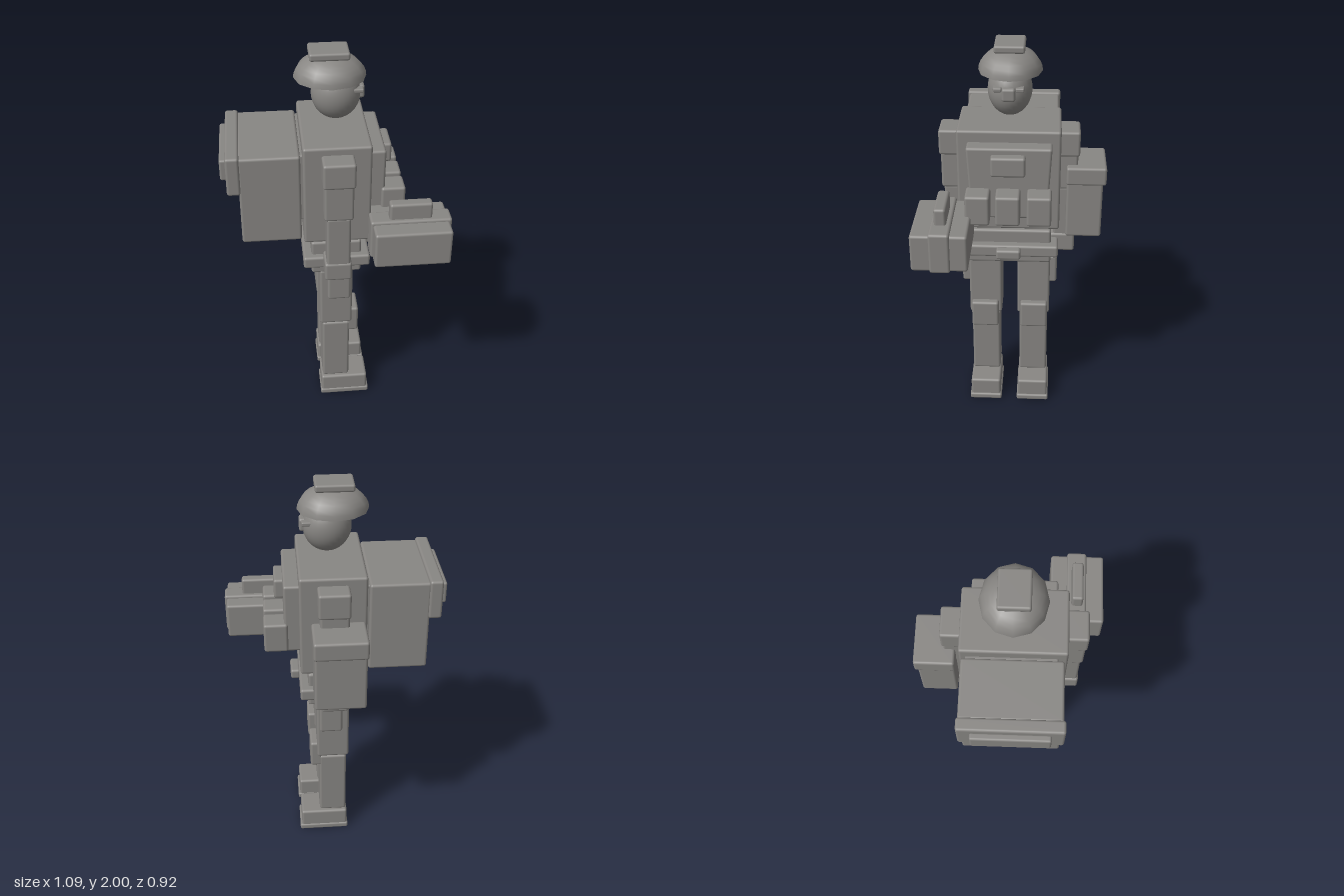
import * as THREE from 'three';
import { RoundedBoxGeometry } from 'three/addons/geometries/RoundedBoxGeometry.js';

const MID = 0.017; // plane of symmetry between the model's two sides

export function createModel() {
  const root = new THREE.Group();
  const grey = new THREE.MeshStandardMaterial({ color: 0x888683 });
  grey.name = 'plain grey';

  const add = (name, geometry) => {
    const mesh = new THREE.Mesh(geometry, grey);
    mesh.name = name;
    root.add(mesh);
    return mesh;
  };
  // Soft-edged box given by its extents on each axis
  const box = (name, [x0, x1], [y0, y1], [z0, z1]) => {
    const size = [x1 - x0, y1 - y0, z1 - z0];
    const radius = Math.min(0.013, Math.min(...size) * 0.3);
    const mesh = add(name, new RoundedBoxGeometry(...size, 2, radius));
    mesh.position.set((x0 + x1) / 2, (y0 + y1) / 2, (z0 + z1) / 2);
    return mesh;
  };
  // The same box on both sides of the body
  const pair = (name, x, y, [z0, z1]) => {
    box(name + 'Near', x, y, [z0, z1]);
    box(name + 'Far', x, y, [2 * MID - z1, 2 * MID - z0]);
  };

  // Head and goggles
  const head = add('head', new THREE.SphereGeometry(1, 28, 20));
  head.scale.set(0.118, 0.13, 0.107);
  head.position.set(0.016, 1.78, 0.015);
  box('nosePiece', [0.1, 0.15], [1.755, 1.82], [-0.015, 0.05]);
  pair('goggleLens', [0.08, 0.14], [1.8, 1.82], [0.05, 0.09]);

  // Domed helmet with a closed underside
  const dome = [];
  for (let i = 0; i <= 8; i++) {
    const a = (i / 8) * Math.PI / 2;
    dome.push(new THREE.Vector2(Math.cos(a), Math.sin(a)));
  }
  dome[8].x = 0;
  const helmet = add('helmet', new THREE.LatheGeometry(dome, 12));
  const brim = add('helmetUnderside', new THREE.CircleGeometry(1, 12).rotateX(Math.PI / 2));
  for (const part of [helmet, brim]) {
    part.scale.set(0.171, 0.115, 0.154);
    part.position.set(-0.012, 1.86, 0.014);
  }
  box('helmetTop', [-0.111, 0.076], [1.963, 2.0], [-0.057, 0.089]);

  // Torso and tapered chest plate
  box('torso', [-0.16, 0.165], [1.09, 1.617], [-0.235, 0.267]);
  const plate = box('chestPlate', [0.14, 0.238], [1.19, 1.56], [-0.205, 0.228]);
  const p = plate.geometry.attributes.position;
  for (let i = 0; i < p.count; i++) {
    p.setZ(i, p.getZ(i) * (0.9 + 0.25 * p.getY(i)));
  }
  box('chestBadge', [0.22, 0.281], [1.43, 1.53], [-0.068, 0.098]);
  for (const z of [-0.135, 0.015, 0.16]) {
    box('chestPouch', [0.22, 0.338], [1.2, 1.353], [z - 0.059, z + 0.059]);
  }

  // Backpack
  box('backPanel', [-0.177, -0.15], [1.2, 1.56], [-0.205, 0.222]);
  box('backpack', [-0.461, -0.17], [1.1, 1.57], [-0.225, 0.252]);
  box('backpackFlap', [-0.518, -0.453], [1.38, 1.58], [-0.232, 0.262]);
  box('backpackStrip', [-0.547, -0.51], [1.43, 1.54], [-0.17, 0.2]);

  // Hips and belt
  box('hips', [-0.124, 0.126], [0.87, 1.06], [-0.196, 0.229]);
  box('belt', [-0.165, 0.168], [0.925, 0.99], [-0.233, 0.262]);
  box('buckle', [0.16, 0.21], [0.932, 0.985], [-0.044, 0.08]);

  // Arms
  pair('shoulder', [-0.074, 0.08], [1.45, 1.58], [0.25, 0.363]);
  pair('upperArm', [-0.068, 0.072], [1.27, 1.52], [0.25, 0.355]);
  pair('forearm', [-0.056, 0.06], [0.99, 1.275], [0.24, 0.345]);
  pair('hand', [-0.066, 0.067], [0.91, 1.012], [0.225, 0.35]);

  // Carried case with a band and handle
  box('case', [0.162, 0.531], [1.06, 1.248], [0.19, 0.459]);
  box('caseBand', [0.151, 0.542], [1.055, 1.262], [0.272, 0.371]);
  box('caseHandle', [0.243, 0.448], [1.24, 1.343], [0.295, 0.352]);

  // Side bag with a lid
  box('sideBag', [-0.142, 0.107], [1.02, 1.34], [-0.447, -0.267]);
  box('sideBagLid', [-0.147, 0.112], [1.31, 1.405], [-0.463, -0.265]);

  // Legs and boots
  pair('thigh', [-0.082, 0.085], [0.525, 0.878], [0.058, 0.229]);
  pair('thighPouch', [-0.045, 0.072], [0.718, 0.877], [0.21, 0.265]);
  pair('shin', [-0.07, 0.073], [0.133, 0.518], [0.07, 0.22]);
  pair('kneePad', [0.06, 0.12], [0.456, 0.606], [0.075, 0.218]);
  pair('boot', [-0.077, 0.174], [0.02, 0.125], [0.065, 0.227]);
  pair('sole', [-0.082, 0.184], [0, 0.033], [0.059, 0.233]);

  return root;
}
